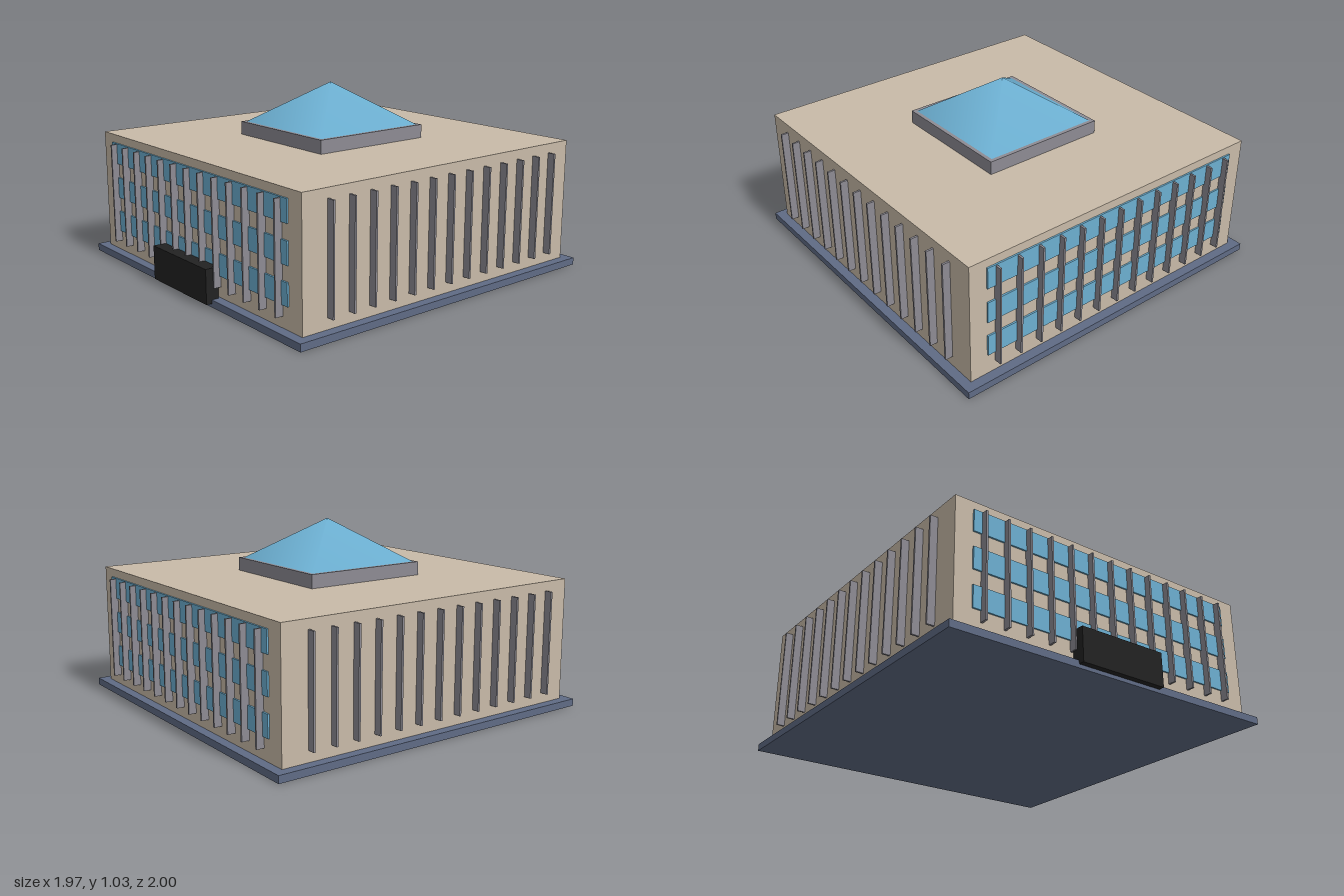
import * as THREE from 'three';

export function createModel() {
  const model = new THREE.Group();
  model.name = 'officeBuilding';
  const material = (name, color) => {
    const m = new THREE.MeshStandardMaterial({ color });
    m.name = name;
    return m;
  };
  const stone = material('stone', 0xc8baa8);
  const slate = material('slate', 0x5f6b85);
  const grey = material('grey', 0x8d8b93);
  const glass = material('glass', 0x6cafd1);
  const black = material('black', 0x222222);

  const add = (parent, name, geometry, mat, x, y, z) => {
    const mesh = new THREE.Mesh(geometry, mat);
    mesh.name = name;
    mesh.position.set(x, y, z);
    parent.add(mesh);
    return mesh;
  };
  const box = (parent, name, mat, w, h, d, x, y, z) =>
    add(parent, name, new THREE.BoxGeometry(w, h, d), mat, x, y, z);

  // The entrance projects forward, so the building sits slightly behind the centre
  const body = new THREE.Group();
  body.name = 'building';
  body.position.z = -0.015;
  model.add(body);

  const half = 0.93;
  box(body, 'plinth', slate, 1.966, 0.04, 1.966, 0, 0.02, 0);
  box(body, 'walls', stone, 2 * half, 0.68, 2 * half, 0, 0.38, 0);

  // Window bands on the front and back
  for (const side of [1, -1]) {
    for (const y of [0.217, 0.416, 0.615]) {
      box(body, 'windowBand', glass, 1.66, 0.118, 0.009, 0, y, side * (half + 0.0045));
    }
  }

  // Vertical fins, thirteen on each of the four sides
  for (let s = 0; s < 4; s++) {
    const row = new THREE.Group();
    row.name = 'finRow';
    row.rotation.y = s * Math.PI / 2;
    body.add(row);
    for (let i = -6; i <= 6; i++) {
      box(row, 'fin', grey, 0.011, 0.57, 0.042, i * 0.1297, 0.384, half + 0.021);
    }
  }

  // Roof skylight: curb and glass pyramid
  box(body, 'skylightCurb', grey, 0.724, 0.075, 0.724, 0, 0.757, 0);
  const pyramid = new THREE.ConeGeometry(0.34 * Math.SQRT2, 0.235, 4);
  pyramid.rotateY(Math.PI / 4);
  add(body, 'skylight', pyramid, glass, 0, 0.912, 0);

  // Entrance block at the front
  box(model, 'entrance', black, 0.516, 0.187, 0.072, 0, 0.1135, 0.964);

  return model;
}
